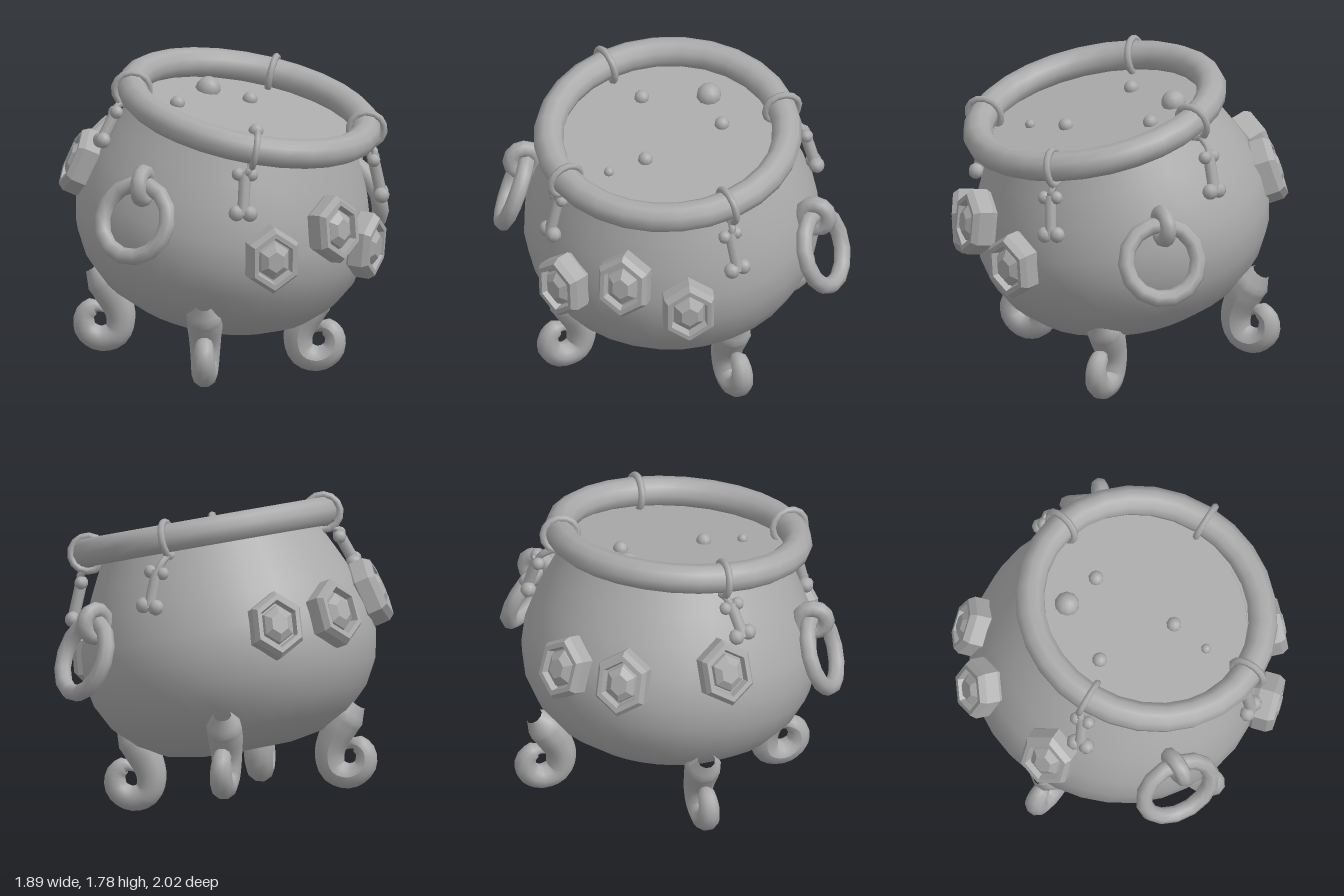
import * as THREE from 'three';

const V = (x, y, z) => new THREE.Vector3(x, y, z);
const grey = new THREE.MeshStandardMaterial({ color: 0xaaaaaa });
grey.name = 'stone grey';

const TILT = -0.235;          // the pot leans towards +x
const RIM_R = 0.665;

function add(parent, name, geometry, pos) {
  const m = new THREE.Mesh(geometry, grey);
  m.name = name;
  if (pos) m.position.copy(pos);
  parent.add(m);
  return m;
}

function lathe(profile, segments) {
  return new THREE.LatheGeometry(profile.map(([r, y]) => new THREE.Vector2(r, y)), segments);
}

// Tube whose radius follows a list of values along the path
function taperedTube(points, radii, rings, sides) {
  const curve = new THREE.CatmullRomCurve3(points);
  const g = new THREE.TubeGeometry(curve, rings, 1, sides);
  const pos = g.attributes.position, v = V(0, 0, 0);
  for (let i = 0; i <= rings; i++) {
    const c = curve.getPointAt(i / rings);
    const f = (i / rings) * (radii.length - 1), k = Math.min(Math.floor(f), radii.length - 2);
    const r = THREE.MathUtils.lerp(radii[k], radii[k + 1], f - k);
    for (let j = 0; j <= sides; j++) {
      const n = i * (sides + 1) + j;
      v.fromBufferAttribute(pos, n).sub(c).multiplyScalar(r).add(c);
      pos.setXYZ(n, v.x, v.y, v.z);
    }
  }
  g.computeVertexNormals();
  return g;
}

// Six-sided framed jewel facing +z, flat shaded
function jewelGeometry() {
  const g = lathe([[0.17, -0.09], [0.19, -0.06], [0.19, 0.02], [0.165, 0.055], [0.135, 0.055],
    [0.122, 0.01], [0.112, 0.01], [0.105, 0.035], [0.06, 0.065], [0, 0.065]], 6);
  g.rotateX(Math.PI / 2);
  g.scale(0.85, 1, 1);
  const flat = g.toNonIndexed();
  flat.computeVertexNormals();
  return flat;
}

// Hanging ring handle with its mounting loop, facing +z
function handle(name, pos, yaw) {
  const g = new THREE.Group();
  g.name = name;
  g.position.copy(pos);
  g.rotation.y = yaw;
  add(g, 'handleRing', new THREE.TorusGeometry(0.207, 0.047, 8, 14)).rotation.x = -0.35;
  const loop = add(g, 'handleMount', new THREE.TorusGeometry(0.075, 0.047, 8, 12), V(0.02, 0.19, -0.055));
  loop.rotation.y = Math.PI / 2 + 0.15;
  return g;
}

// Bone hanging from top to bottom, its broad side turned to the given direction
function bone(top, bottom, azimuth) {
  const g = new THREE.Group();
  g.name = 'bone';
  const up = top.clone().sub(bottom), len = up.length();
  up.normalize();
  const side = V(-Math.sin(azimuth), 0, Math.cos(azimuth)).cross(up).cross(up).negate().normalize();
  const tangent = side;
  const out = tangent.clone().cross(up).normalize();
  g.quaternion.setFromRotationMatrix(new THREE.Matrix4().makeBasis(tangent, up, out));
  g.position.copy(top).add(bottom).multiplyScalar(0.5);
  add(g, 'boneShaft', new THREE.CylinderGeometry(0.033, 0.033, len * 0.8, 8));
  for (const sy of [-1, 1]) for (const sx of [-1, 1]) {
    const r = sy < 0 ? 0.045 : 0.037;
    add(g, 'boneKnob', new THREE.SphereGeometry(r, 8, 6), V(sx * 0.037, sy * (len / 2 - 0.04), 0));
  }
  return g;
}

export function createModel() {
  const model = new THREE.Group();
  model.name = 'cauldron';

  // Leaning pot: origin at the centre of the rim
  const pot = new THREE.Group();
  pot.name = 'pot';
  pot.position.set(0.165, 1.545, 0);
  pot.rotation.z = TILT;
  model.add(pot);

  add(pot, 'body', lathe([[0, -1.235], [0.25, -1.23], [0.44, -1.195], [0.6, -1.11], [0.72, -0.99],
    [0.795, -0.85], [0.825, -0.7], [0.815, -0.55], [0.76, -0.37], [0.685, -0.21], [0.61, -0.06]], 32),
    V(-0.025, 0, 0));
  const rim = new THREE.TorusGeometry(RIM_R, 0.083, 10, 28);
  rim.rotateX(Math.PI / 2);
  add(pot, 'rim', rim);

  // Brew with bubbles
  const brew = new THREE.CircleGeometry(0.64, 32);
  brew.rotateX(-Math.PI / 2);
  add(pot, 'brew', brew, V(0, -0.075, 0));
  for (const [x, z, r] of [[-0.4, -0.18, 0.07], [-0.18, -0.28, 0.042], [-0.35, 0.19, 0.042],
    [0.14, 0.11, 0.042], [0.26, 0.3, 0.028]]) {
    add(pot, 'bubble', new THREE.SphereGeometry(r, 10, 8), V(x, -0.065, z));
  }

  // Cords around the rim, each carrying a bone
  const charms = [
    [142, V(-0.40, 1.57, 0.46), V(-0.46, 1.35, 0.57)],
    [52, V(0.525, 1.35, 0.56), V(0.55, 1.06, 0.62)],
    [-37, V(0.71, 1.29, -0.41), V(0.74, 1.01, -0.47)],
    [-114, V(-0.13, 1.47, -0.72), V(-0.13, 1.21, -0.8)],
  ];
  pot.updateMatrixWorld(true);
  for (const [deg, top, bottom] of charms) {
    const a = THREE.MathUtils.degToRad(deg);
    const cord = add(pot, 'cordLoop', new THREE.TorusGeometry(0.098, 0.02, 6, 14),
      V(RIM_R * Math.cos(a), -0.005, RIM_R * Math.sin(a)));
    cord.rotation.y = -a;
    const knot = pot.localToWorld(V((RIM_R + 0.03) * Math.cos(a), -0.09, (RIM_R + 0.03) * Math.sin(a)));
    const end = top.clone().lerp(bottom, 0.15);
    const mid = knot.clone().lerp(end, 0.5).add(V(0.02 * Math.cos(a), 0, 0.02 * Math.sin(a)));
    add(model, 'cord', new THREE.TubeGeometry(new THREE.CatmullRomCurve3([knot, mid, end]), 6, 0.02, 6));
    model.add(bone(top, bottom, a));
  }

  // Jewels turned away from the middle of the pot
  const centre = V(-0.01, 0.885, 0), jewel = jewelGeometry();
  for (const p of [V(0.69, 0.84, 0.53), V(0.86, 0.97, 0.16), V(0.83, 0.81, -0.2),
    V(-0.63, 1.24, 0.51), V(-0.84, 1.2, -0.03), V(-0.73, 1.16, -0.4)]) {
    add(model, 'jewel', jewel, p).lookAt(p.clone().multiplyScalar(2).sub(centre));
  }

  // Ring handles
  model.add(handle('frontHandle', V(0, 1.04, 0.88), 0.08));
  model.add(handle('backHandle', V(0.27, 0.93, -0.885), Math.PI - 0.3));

  // Four scrolled feet
  const path = [[0.06, 0.31], [-0.04, 0.17], [-0.095, 0.03], [-0.07, -0.07], [0.02, -0.1],
    [0.1, -0.05], [0.105, 0.04], [0.045, 0.085], [-0.01, 0.045]].map(([u, v]) => V(u, v, 0));
  const footGeo = taperedTube(path, [0.05, 0.1, 0.1, 0.09, 0.083, 0.077, 0.072, 0.066, 0.06, 0.05, 0], 30, 10);
  for (const [x, y, z, deg] of [[0.25, 0.24, 0.56, 57], [-0.57, 0.31, 0.36, 147],
    [-0.5, 0.35, -0.58, 237], [0.34, 0.175, -0.39, -33]]) {
    add(model, 'foot', footGeo, V(x, y, z)).rotation.y = -THREE.MathUtils.degToRad(deg);
  }
  return model;
}
